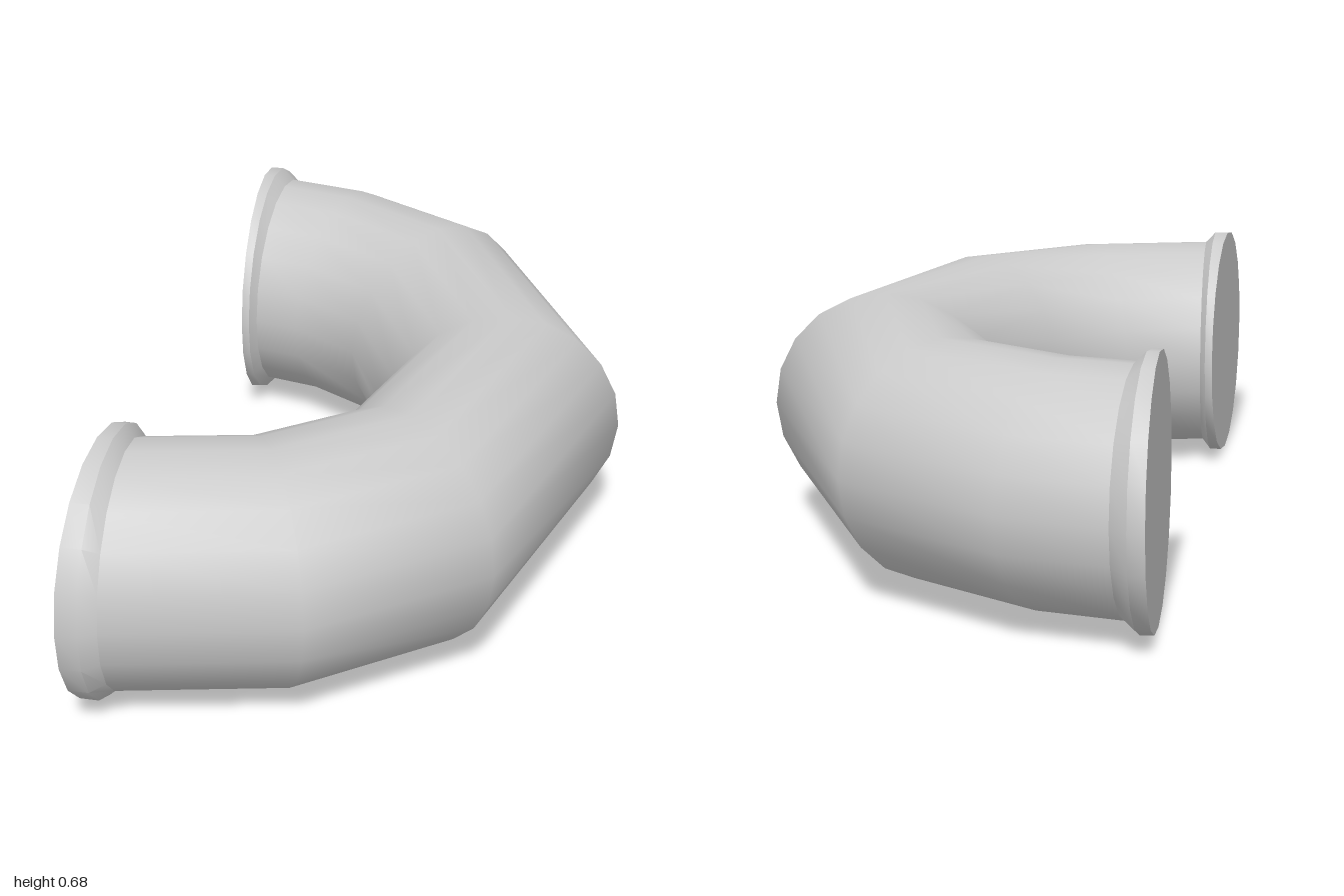
import * as THREE from 'three';
import { toCreasedNormals } from 'three/addons/utils/BufferGeometryUtils.js';

const SIDES = 20;
const CENTRE_Y = 0.338;

// Each ring: outer x, outer z, inner x, inner z, half height
const neckA = [-0.88, 0.76, -0.49, 0.28, 0.307];
const neckB = [0.64, -0.92, 0.21, -0.487, 0.307];
const bend = [
  neckA,
  [-0.46, 0.975, -0.30, 0.38, 0.307],
  [0.05, 0.995, -0.06, 0.39, 0.307],
  [0.76, 0.54, 0.26, 0.185, 0.307],
  [0.965, -0.24, 0.355, -0.18, 0.307],
  [0.81, -0.70, 0.285, -0.385, 0.307],
  neckB,
];
const faceA = [-0.967, 0.715, -0.50, 0.235, 0.338];
const rimA = [-0.925, 0.75, -0.485, 0.25, 0.338];
const faceB = [0.597, -1.0, 0.162, -0.49, 0.338];
const rimB = [0.63, -0.975, 0.18, -0.48, 0.338];

// Point on a ring; angle 0 lies on the outside of the bend
function ringPoint([ox, oz, ix, iz, h], j) {
  const a = (j / SIDES) * Math.PI * 2;
  const c = Math.cos(a) / 2;
  return [
    (ox + ix) / 2 + (ox - ix) * c,
    CENTRE_Y + h * Math.sin(a),
    (oz + iz) / 2 + (oz - iz) * c,
  ];
}

function makeGeometry(points, index) {
  const geometry = new THREE.BufferGeometry();
  geometry.setAttribute('position', new THREE.Float32BufferAttribute(points.flat(), 3));
  geometry.setIndex(index);
  geometry.computeVertexNormals();
  return geometry;
}

// Skin a list of rings with shared vertices around the seam
function loft(rings) {
  const points = [], index = [];
  rings.forEach((ring, i) => {
    for (let j = 0; j < SIDES; j++) {
      points.push(ringPoint(ring, j));
      if (i === rings.length - 1) continue;
      const a = i * SIDES + j, b = i * SIDES + (j + 1) % SIDES;
      index.push(a, a + SIDES, b, b, a + SIDES, b + SIDES);
    }
  });
  return makeGeometry(points, index);
}

// Flat disc closing a ring
function disc(ring, flip) {
  const [ox, oz, ix, iz] = ring;
  const points = [[(ox + ix) / 2, CENTRE_Y, (oz + iz) / 2]], index = [];
  for (let j = 0; j < SIDES; j++) {
    points.push(ringPoint(ring, j));
    const a = j + 1, b = (j + 1) % SIDES + 1;
    index.push(0, flip ? b : a, flip ? a : b);
  }
  return makeGeometry(points, index);
}

export function createModel() {
  const group = new THREE.Group();
  group.name = 'curvedPipe';
  const material = new THREE.MeshStandardMaterial({ color: 0xcccccc });
  const add = (name, geometry) => {
    const mesh = new THREE.Mesh(geometry, material);
    mesh.name = name;
    group.add(mesh);
  };

  // Curved pipe body
  add('pipeBend', loft(bend));

  // Flared collars at both mouths
  add('rightCollar', toCreasedNormals(loft([faceA, rimA, neckA]), 0.6));
  add('leftCollar', toCreasedNormals(loft([neckB, rimB, faceB]), 0.6));

  // Flat end faces
  add('rightEndFace', disc(faceA, false));
  add('leftEndFace', disc(faceB, true));

  return group;
}
